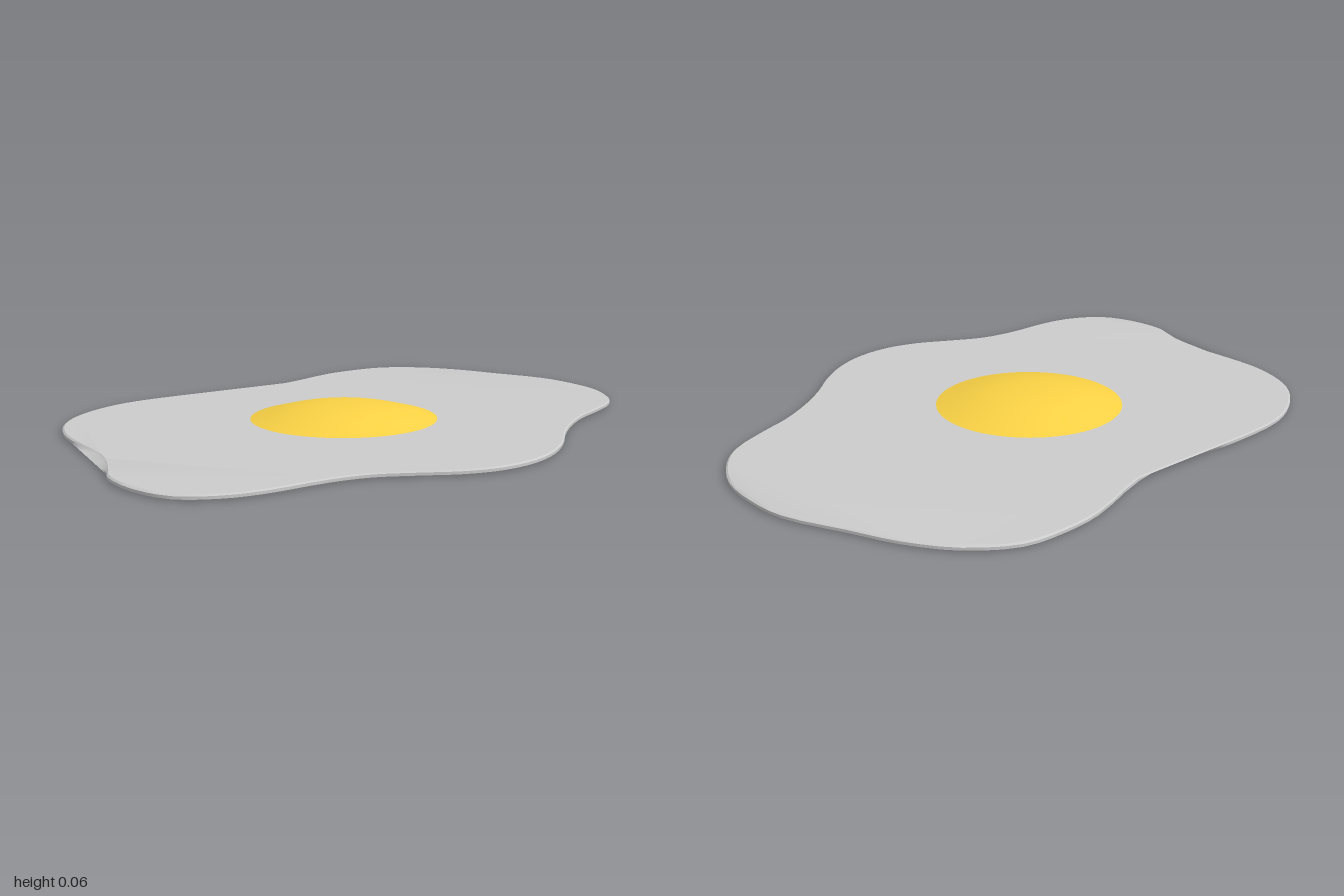
import * as THREE from 'three';
import { toCreasedNormals } from 'three/addons/utils/BufferGeometryUtils.js';

// Wavy rim of the egg white as x, z pairs, clockwise seen from above
const RIM = [
  -0.33, -0.735, -0.13, -0.70, 0, -0.66, 0.11, -0.615, 0.29, -0.59, 0.54, -0.605, 0.67, -0.585,
  0.79, -0.54, 0.89, -0.425, 0.945, -0.28, 0.97, -0.13, 1, 0.06, 0.98, 0.19, 0.93, 0.32,
  0.845, 0.42, 0.76, 0.475, 0.62, 0.505, 0.51, 0.52, 0.375, 0.56, 0.26, 0.61, 0.15, 0.67,
  0.03, 0.715, -0.09, 0.73, -0.21, 0.71, -0.315, 0.655, -0.405, 0.575, -0.5, 0.495,
  -0.61, 0.445, -0.8, 0.395, -0.9, 0.345, -0.98, 0.26, -1, 0.135, -0.97, 0, -0.935, -0.05,
  -0.885, -0.12, -0.84, -0.2, -0.81, -0.3, -0.775, -0.42, -0.74, -0.505, -0.675, -0.6,
  -0.595, -0.665, -0.475, -0.715,
];
const STEPS = 3; // samples between neighbouring rim points

function rimPoints() {
  const knots = [];
  for (let i = 0; i < RIM.length; i += 2) knots.push(new THREE.Vector3(RIM[i], 0, RIM[i + 1]));
  const curve = new THREE.CatmullRomCurve3(knots, true, 'centripetal');
  const n = knots.length * STEPS;
  return Array.from({ length: n }, (_, i) => curve.getPoint(i / n));
}

// Replaces the rim between two knots by a straight cut
function straighten(points, from, to) {
  const a = from * STEPS, b = to * STEPS;
  return points.map((p, i) =>
    i > a && i < b ? points[a].clone().lerp(points[b], (i - a) / (b - a)) : p);
}

function eggWhiteGeometry() {
  const rim = rimPoints(), n = rim.length;
  const lower = straighten(rim, 33, 37); // straight cut on the underside, at -x
  const upper = straighten(rim, 1, 4);   // straight cut on the top, at the back
  const rings = [
    { y: 0, scale: 0.994, rim: lower },
    { y: 0.004, scale: 1, rim: lower },
    { y: 0.012, scale: 1, rim: upper },
    { y: 0.016, scale: 0.994, rim: upper },
  ];
  const positions = [], index = [];
  for (const r of rings) for (const p of r.rim) positions.push(p.x * r.scale, r.y, p.z * r.scale);

  // Rounded edge
  for (let r = 0; r < rings.length - 1; r++) {
    for (let i = 0; i < n; i++) {
      const a = r * n + i, b = r * n + (i + 1) % n;
      index.push(b, a, a + n, b, a + n, b + n);
    }
  }
  // Flat underside and top
  const cap = (ring, up) => {
    const flat = rings[ring].rim.map((p) => new THREE.Vector2(p.x, -p.z));
    for (const [a, b, c] of THREE.ShapeUtils.triangulateShape(flat, [])) {
      const area = flat[b].clone().sub(flat[a]).cross(flat[c].clone().sub(flat[a]));
      const o = ring * n;
      if ((area > 0) === up) index.push(o + a, o + b, o + c);
      else index.push(o + a, o + c, o + b);
    }
  };
  cap(0, false);
  cap(rings.length - 1, true);

  const geometry = new THREE.BufferGeometry();
  geometry.setAttribute('position', new THREE.Float32BufferAttribute(positions, 3));
  geometry.setIndex(index);
  return toCreasedNormals(geometry, 0.6);
}

function yolkGeometry() {
  // Low dome that flattens out towards its rim
  const profile = new THREE.SplineCurve([
    [0.302, 0.014], [0.25, 0.028], [0.2, 0.041], [0.14, 0.053], [0.07, 0.061], [0, 0.063],
  ].map(([r, y]) => new THREE.Vector2(r, y)));
  return new THREE.LatheGeometry(profile.getPoints(16), 64);
}

export function createModel() {
  const model = new THREE.Group();
  model.name = 'friedEgg';

  const white = new THREE.Mesh(eggWhiteGeometry(), new THREE.MeshStandardMaterial({ color: 0xcccccc }));
  white.name = 'eggWhite';

  const yolk = new THREE.Mesh(yolkGeometry(), new THREE.MeshStandardMaterial({ color: 0xfad245 }));
  yolk.name = 'yolk';
  yolk.position.set(-0.025, 0, -0.025);

  model.add(white, yolk);
  return model;
}
